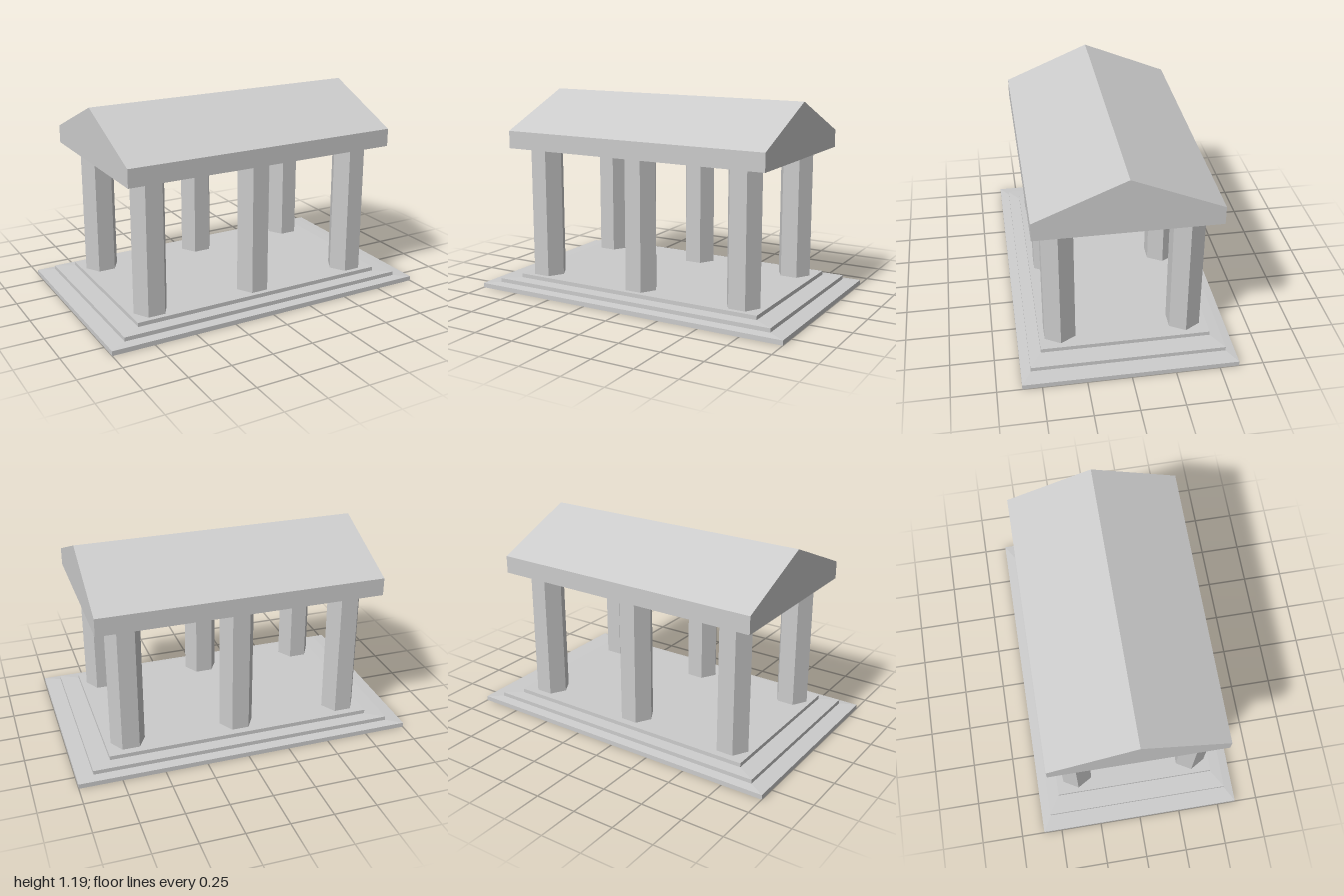
import * as THREE from 'three';

const material = new THREE.MeshStandardMaterial({ color: 0xcccccc, flatShading: true });

function part(name, geometry) {
  const mesh = new THREE.Mesh(geometry, material);
  mesh.name = name;
  return mesh;
}

// Closed loft through rectangles given as [halfX, halfZ, y], from bottom to top
function rectangleLoft(levels) {
  const corners = [[-1, 1], [1, 1], [1, -1], [-1, -1]];
  const rings = levels.map(([hx, hz, y]) => corners.map(([sx, sz]) => [sx * hx, y, sz * hz]));
  const positions = [];
  const quad = (a, b, c, d) => positions.push(...a, ...b, ...c, ...a, ...c, ...d);
  for (let i = 0; i < rings.length - 1; i++) {
    for (let k = 0; k < 4; k++) {
      const n = (k + 1) % 4;
      quad(rings[i][k], rings[i][n], rings[i + 1][n], rings[i + 1][k]);
    }
  }
  quad(...rings[rings.length - 1]);
  quad(...[...rings[0]].reverse());
  const geometry = new THREE.BufferGeometry();
  geometry.setAttribute('position', new THREE.Float32BufferAttribute(positions, 3));
  geometry.computeVertexNormals();
  return geometry;
}

export function createModel() {
  const model = new THREE.Group();
  model.name = 'temple';

  // Three-step platform with slightly sloping treads
  model.add(part('steppedBase', rectangleLoft([
    [1, 0.61, 0], [1, 0.61, 0.028],
    [0.905, 0.555, 0.035], [0.905, 0.555, 0.059],
    [0.795, 0.487, 0.064], [0.795, 0.487, 0.088],
  ])));

  // Two rows of three hexagonal columns
  const columns = new THREE.Group();
  columns.name = 'columns';
  const columnGeometry = new THREE.CylinderGeometry(0.102, 0.102, 0.782, 6, 1, false, Math.PI / 6);
  for (const z of [0.368, -0.355]) {
    for (const x of [-0.667, -0.004, 0.66]) {
      const column = part('column', columnGeometry);
      column.position.set(x, 0.479, z);
      columns.add(column);
    }
  }
  model.add(columns);

  // Gabled roof, ridge running along x
  const gable = new THREE.Shape([
    new THREE.Vector2(-0.512, 0.87), new THREE.Vector2(0.512, 0.87),
    new THREE.Vector2(0.512, 0.975), new THREE.Vector2(0, 1.19),
    new THREE.Vector2(-0.512, 0.975),
  ]);
  const roof = new THREE.ExtrudeGeometry(gable, { depth: 1.676, bevelEnabled: false });
  roof.translate(0, 0, -0.838).rotateY(Math.PI / 2);
  model.add(part('gabledRoof', roof));

  return model;
}
